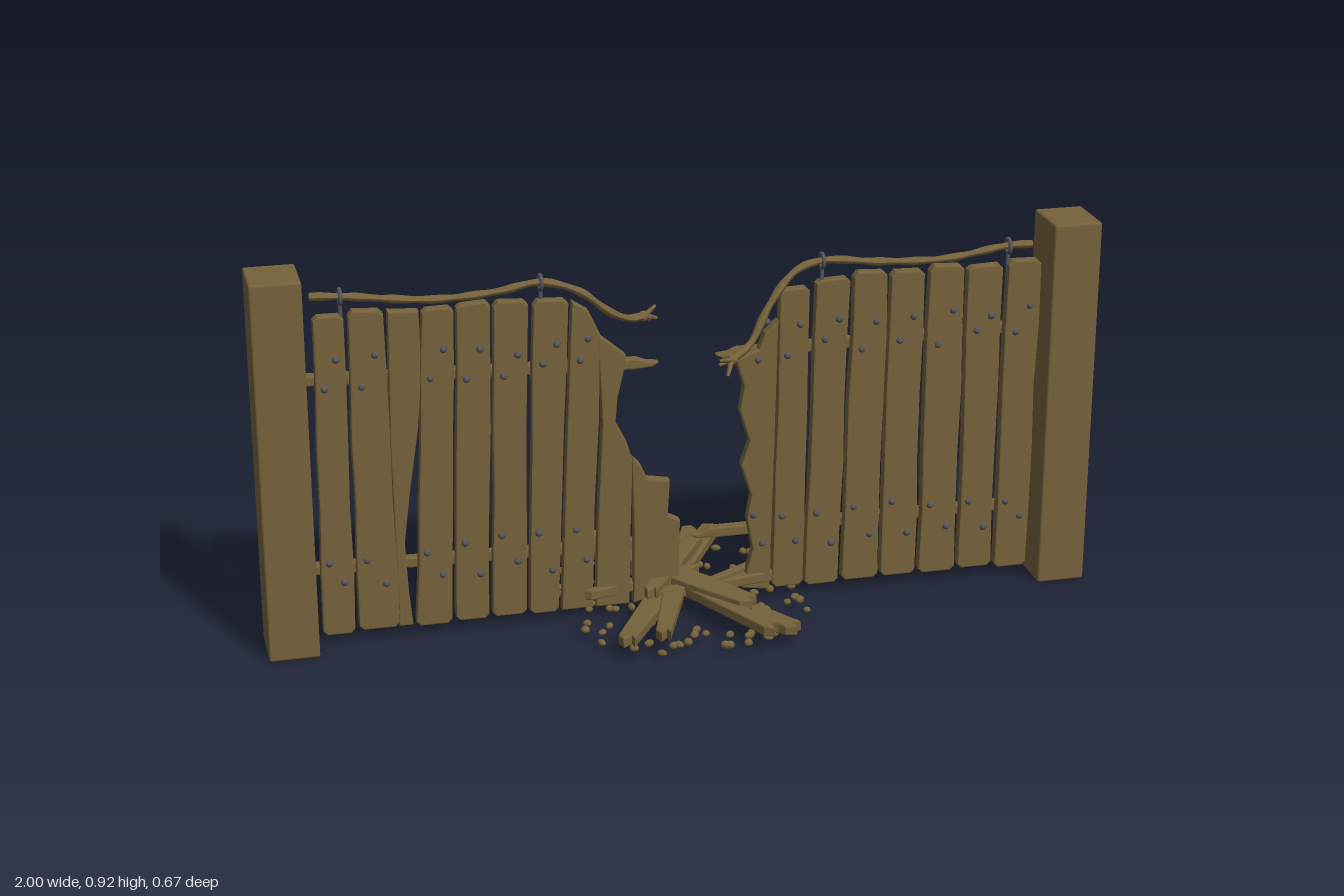
import * as THREE from 'three';
import { RoundedBoxGeometry } from 'three/addons/geometries/RoundedBoxGeometry.js';

const wood = new THREE.MeshStandardMaterial({ color: 0x75623b });
wood.name = 'weathered wood';
const iron = new THREE.MeshStandardMaterial({ color: 0x54545a });
iron.name = 'iron';

let seed = 7;
const rnd = () => (seed = (seed * 16807) % 2147483647) / 2147483647;
const jit = (a) => (rnd() - 0.5) * 2 * a;
const V = (p) => new THREE.Vector3(...p);

function add(parent, name, geo, mat = wood) {
  const m = new THREE.Mesh(geo, mat);
  m.name = name;
  parent.add(m);
  return m;
}

// flat board cut from an outline, with softened edges; back face at z = 0
function board(pts, thick) {
  const b = 0.004;
  const shape = new THREE.Shape(pts.map((p) => new THREE.Vector2(...p)));
  const geo = new THREE.ExtrudeGeometry(shape, {
    depth: thick - 2 * b, bevelThickness: b, bevelSize: b, bevelOffset: -b, bevelSegments: 2,
  });
  return geo.translate(0, 0, b);
}

// outline of an upright plank: bottom and top x ranges, slightly uneven sides and cut corners
function plankOutline([b0, b1, t0, t1, top]) {
  const y0 = 0.03 + jit(0.004), c = 0.01, n = 5, left = [], right = [];
  for (let i = 1; i < n; i++) {
    const f = i / n, y = y0 + (top - y0) * f;
    right.push([b1 + (t1 - b1) * f + jit(0.003), y]);
    left.unshift([b0 + (t0 - b0) * f + jit(0.003), y]);
  }
  return [[b0 + c, y0], [b1 - c, y0], [b1, y0 + c], ...right, [t1, top - c], [t1 - c, top],
    [t0 + c, top + jit(0.004)], [t0, top - c], ...left, [b0, y0 + c]];
}

// tapered round limb through points, radius given by a function of 0..1
function limb(points, radius, seg = 40, sides = 8) {
  const curve = new THREE.CatmullRomCurve3(points.map(V));
  const geo = new THREE.TubeGeometry(curve, seg, 1, sides);
  const pos = geo.attributes.position, p = new THREE.Vector3();
  for (let i = 0; i <= seg; i++) {
    const c = curve.getPointAt(i / seg), r = radius(i / seg);
    for (let j = 0; j <= sides; j++) {
      const k = i * (sides + 1) + j;
      p.fromBufferAttribute(pos, k).sub(c).multiplyScalar(r).add(c);
      pos.setXYZ(k, p.x, p.y, p.z);
    }
  }
  geo.computeVertexNormals();
  return geo;
}

export function createModel() {
  const g = new THREE.Group();
  g.name = 'brokenFence';

  // end posts
  for (const s of [-1, 1]) {
    add(g, s > 0 ? 'leftPost' : 'rightPost', new RoundedBoxGeometry(0.118, 0.918, 0.14, 2, 0.006))
      .position.set(s * 0.941, 0.466, 0.031);
  }

  // whole planks: bottom x range, top x range, height
  const planks = [
    [-0.865, -0.79, -0.855, -0.785, 0.815], [-0.78, -0.685, -0.775, -0.695, 0.82],
    [-0.645, -0.56, -0.608, -0.535, 0.815], [-0.55, -0.47, -0.528, -0.45, 0.82],
    [-0.462, -0.38, -0.443, -0.362, 0.815], [-0.372, -0.302, -0.35, -0.268, 0.81],
    [0.225, 0.302, 0.235, 0.308, 0.795], [0.308, 0.392, 0.325, 0.408, 0.81],
    [0.4, 0.492, 0.415, 0.497, 0.82], [0.5, 0.588, 0.508, 0.59, 0.815],
    [0.597, 0.69, 0.603, 0.688, 0.82], [0.698, 0.785, 0.698, 0.785, 0.815],
    [0.793, 0.875, 0.798, 0.88, 0.82],
  ];
  const fence = new THREE.Group();
  fence.name = 'planks';
  g.add(fence);
  for (const p of planks) add(fence, 'plank', board(plankOutline(p), 0.028)).position.z = jit(0.003);

  // split and broken planks
  const broken = [
    [[-0.685, 0.03], [-0.652, 0.03], [-0.66, 0.12], [-0.665, 0.24], [-0.65, 0.36], [-0.625, 0.52], [-0.612, 0.66],
      [-0.614, 0.81], [-0.685, 0.815], [-0.69, 0.5]],
    [[-0.295, 0.03], [-0.22, 0.03], [-0.212, 0.3], [-0.2, 0.5], [-0.195, 0.72], [-0.222, 0.78], [-0.26, 0.805],
      [-0.266, 0.7], [-0.28, 0.4]],
    [[-0.212, 0.03], [-0.13, 0.03], [-0.125, 0.25], [-0.12, 0.4], [-0.135, 0.45], [-0.16, 0.5], [-0.155, 0.56],
      [-0.14, 0.62], [-0.135, 0.665], [-0.165, 0.69], [-0.2, 0.72], [-0.192, 0.5], [-0.205, 0.25]],
    [[-0.12, 0.03], [-0.01, 0.06], [-0.005, 0.235], [-0.035, 0.25], [-0.03, 0.34], [-0.085, 0.35], [-0.1, 0.385],
      [-0.122, 0.41], [-0.118, 0.2]],
    [[0.15, 0.04], [0.218, 0.03], [0.226, 0.4], [0.232, 0.72], [0.2, 0.69], [0.185, 0.65], [0.13, 0.63], [0.15, 0.56],
      [0.14, 0.5], [0.165, 0.42], [0.145, 0.36], [0.17, 0.28], [0.16, 0.22], [0.175, 0.14]],
  ];
  for (const pts of broken) add(fence, 'brokenPlank', board(pts, 0.028)).position.z = jit(0.002);

  // nails, two at each rail on every plank
  const nails = new THREE.Group();
  nails.name = 'nails';
  g.add(nails);
  const nailGeo = new THREE.SphereGeometry(0.009, 10, 8);
  const nailPlanks = [...planks, [-0.28, -0.22, -0.25, -0.21, 0.7], [0.16, 0.21, 0.17, 0.22, 0.6]];
  for (const [b0, b1, t0, t1] of nailPlanks) {
    for (const [y, f] of [[0.7, 0.7], [0.645, 0.3], [0.22, 0.25], [0.15, 0.72]]) {
      const h = y / 0.82, l = b0 + (t0 - b0) * h, r = b1 + (t1 - b1) * h;
      add(nails, 'nail', nailGeo, iron).position.set(l + (r - l) * f, y + jit(0.02), 0.028);
    }
  }

  // back rails with splintered ends toward the gap
  const rails = [
    [-0.88, -0.05, 0.655, 0.63], [-0.88, -0.02, 0.185, 0.17], [0.88, 0.09, 0.645, 0.635], [0.88, 0.025, 0.18, 0.182],
  ];
  for (const [x0, x1, y0, y1] of rails) {
    const s = Math.sign(x1 - x0);
    const pts = [[x0, y0 - 0.013], [x1 - s * 0.06, y1 - 0.013], [x1 - s * 0.015, y1 - 0.01], [x1, y1],
      [x1 - s * 0.03, y1 + 0.004], [x1 - s * 0.05, y1 + 0.013], [x0, y0 + 0.013]];
    add(g, 'backRail', board(s > 0 ? pts : pts.reverse(), 0.026)).position.z = -0.022;
  }

  // sagging ropes with frayed ends
  const ropes = [
    { path: [[-0.86, 0.86, 0.012], [-0.79, 0.855, 0.012], [-0.58, 0.832, 0.014], [-0.43, 0.838, 0.012],
      [-0.33, 0.852, 0.01], [-0.24, 0.82, 0], [-0.16, 0.755, -0.02], [-0.11, 0.728, -0.045], [-0.07, 0.722, -0.07]],
    ends: [[-0.035, 0.735, -0.1], [-0.045, 0.695, -0.118], [-0.035, 0.71, -0.085]] },
    { path: [[0.86, 0.855, 0.012], [0.8, 0.855, 0.012], [0.64, 0.835, 0.014], [0.48, 0.84, 0.012],
      [0.34, 0.853, 0.012], [0.27, 0.835, 0.025], [0.2, 0.765, 0.055], [0.15, 0.69, 0.085], [0.1, 0.663, 0.11]],
    ends: [[0.055, 0.678, 0.155], [0.075, 0.64, 0.16], [0.06, 0.66, 0.135]] },
  ];
  for (const { path, ends } of ropes) {
    add(g, 'rope', limb(path, (t) => 0.0095 + 0.0012 * Math.sin(t * 60), 90));
    const tip = path[path.length - 1], before = path[path.length - 2];
    add(g, 'ropeKnot', new THREE.SphereGeometry(0.013, 10, 8)).position.set(...tip);
    for (const e of ends) {
      const start = tip.map((v, i) => v + (before[i] - v) * 0.2);
      add(g, 'ropeStrand', limb([start, tip, e], (t) => 0.009 - 0.005 * t, 12, 6));
    }
    for (const p of [path[1], path[4]]) {
      const ring = add(g, 'ropeRing', new THREE.TorusGeometry(0.017, 0.005, 8, 20), iron);
      ring.position.set(p[0], p[1], p[2]);
      ring.rotation.y = Math.PI / 2;
      add(g, 'ringStem', new THREE.CylinderGeometry(0.005, 0.005, 0.04, 8), iron).position.set(p[0], 0.815, p[2]);
    }
  }

  // fallen boards crossed on the ground: from (x, z) to (x, z), width, base height
  const fallen = [
    [-0.2, -0.32, 0.21, 0.31, 0.06, 0.038], [0.16, -0.32, -0.2, 0.29, 0.06, 0.04],
    [0.1, -0.31, -0.11, 0.29, 0.05, 0.045], [-0.16, -0.33, 0.15, 0.33, 0.05, 0.05],
    [-0.09, -0.12, 0.13, 0.2, 0.07, 0.064], [0.1, -0.22, -0.1, 0.1, 0.045, 0.066],
    [0.25, 0.01, -0.1, 0.07, 0.03, 0.05], [-0.24, 0.04, 0.06, -0.05, 0.028, 0.055],
    [0.26, -0.06, 0.02, 0.08, 0.022, 0.062],
  ];
  for (const [x0, z0, x1, z1, w, y] of fallen) {
    const L = Math.hypot(x1 - x0, z1 - z0) / 2, h = w / 2;
    const pts = [[-L + 0.01, -h * 0.7], [-L * 0.4, -h], [L * 0.4, -h * 0.95], [L - 0.02, -h * 0.75],
      [L, -h * 0.1], [L - 0.025, h * 0.3], [L - 0.01, h * 0.7], [L * 0.3, h], [-L * 0.5, h * 0.9],
      [-L + 0.02, h * 0.8], [-L, h * 0.2]];
    const m = add(g, 'fallenBoard', board(pts, 0.026).rotateX(-Math.PI / 2));
    m.position.set((x0 + x1) / 2, y, (z0 + z1) / 2);
    m.rotation.y = -Math.atan2(z1 - z0, x1 - x0);
  }

  // scattered wood chips
  const chips = new THREE.Group();
  chips.name = 'woodChips';
  g.add(chips);
  const chipGeo = new THREE.SphereGeometry(0.01, 8, 6);
  for (let i = 0; i < 90; i++) {
    const a = i * 2.39996, r = 0.1 + 0.25 * Math.sqrt(rnd());
    const c = add(chips, 'woodChip', chipGeo);
    c.position.set(Math.cos(a) * r * 0.9, 0.031 + jit(0.005), Math.sin(a) * r);
    c.scale.set(0.8 + rnd() * 0.6, 0.7 + rnd() * 0.3, 0.8 + rnd() * 0.4);
    c.rotation.y = rnd() * 6;
  }
  return g;
}
